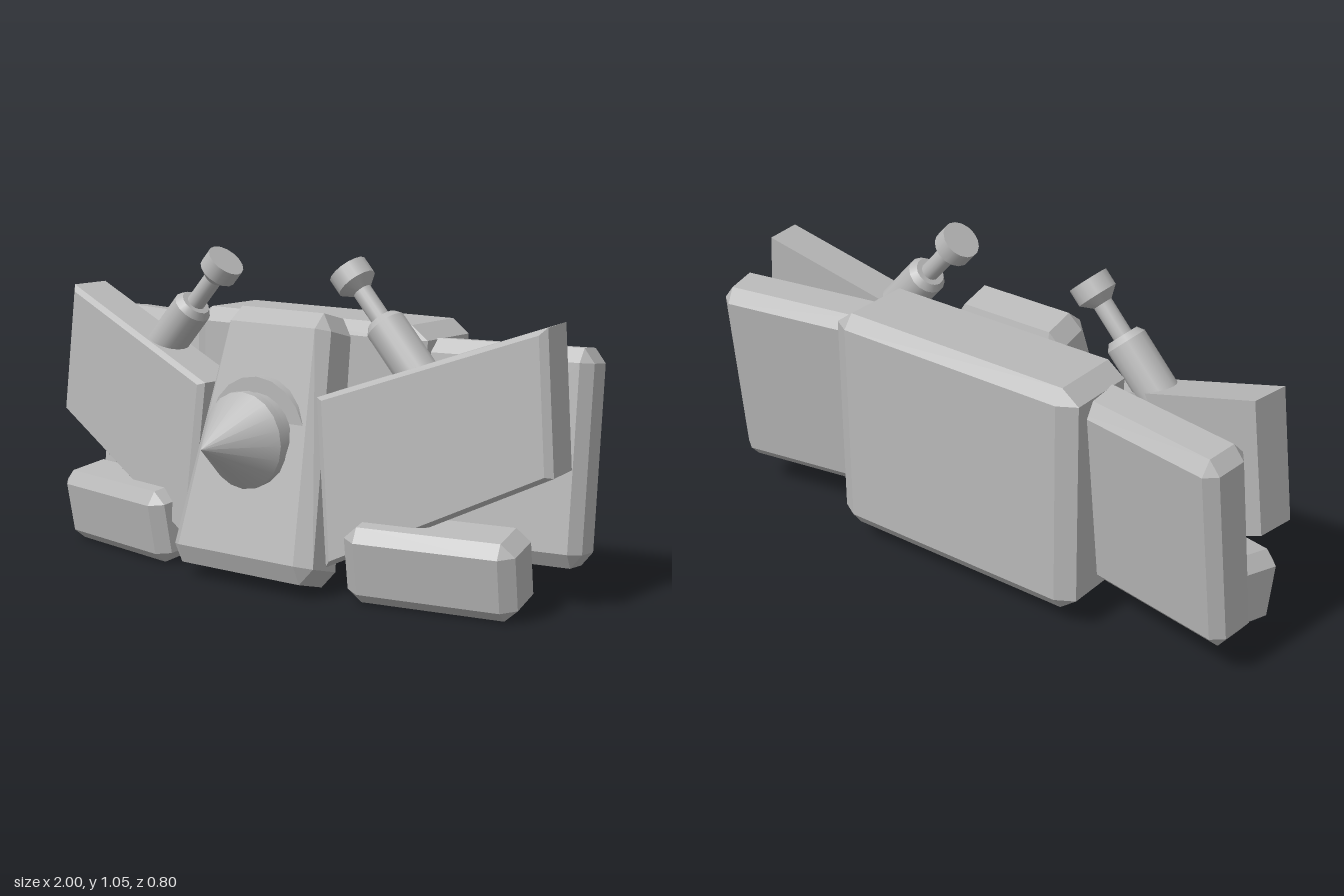
import * as THREE from 'three';
import { ConvexGeometry } from 'three/addons/geometries/ConvexGeometry.js';

const grey = new THREE.MeshStandardMaterial({ color: 0xb8b8b8 });
grey.name = 'plain grey';
const V = (x, y, z) => new THREE.Vector3(x, y, z);

// Box with chamfered edges; shape() may taper each point
function chamferBox(w, h, d, [cx, cy, cz], shape = (p) => p) {
  const points = [];
  for (const sx of [-1, 1]) for (const sy of [-1, 1]) for (const sz of [-1, 1]) {
    const x = w / 2, y = h / 2, z = d / 2;
    points.push(
      V(sx * x, sy * (y - cy), sz * (z - cz)),
      V(sx * (x - cx), sy * y, sz * (z - cz)),
      V(sx * (x - cx), sy * (y - cy), sz * z));
  }
  return new ConvexGeometry(points.map(shape));
}

// Skewed slab with a softly bevelled front face
function slab(corners, back, side) {
  const centre = corners.reduce((a, c) => a.add(c), V(0, 0, 0)).multiplyScalar(1 / corners.length);
  const points = [];
  for (const c of corners) {
    points.push(c.clone().lerp(centre, 0.06).add(V(0, 0, 0.004)));
    points.push(c.clone().addScaledVector(back, 0.08));
    points.push(c.clone().add(back));
  }
  points.forEach((p) => { p.x *= side; });
  return new ConvexGeometry(points);
}

const lathe = (profile, sides) =>
  new THREE.LatheGeometry(profile.map(([r, y]) => new THREE.Vector2(r, y)), sides);

// Turned part with crisp steps: one band for each pair of profile points
function turned(profile, sides) {
  const group = new THREE.Group();
  for (let i = 0; i < profile.length - 1; i++) {
    const band = new THREE.Mesh(lathe([profile[i], profile[i + 1]], sides), grey);
    band.name = 'band' + (i + 1);
    group.add(band);
  }
  return group;
}

export function createModel() {
  const model = new THREE.Group();
  const add = (name, geometry, x, y, z, rx = 0, ry = 0) => {
    const mesh = new THREE.Mesh(geometry, grey);
    mesh.name = name;
    mesh.position.set(x, y, z);
    mesh.rotation.set(rx, ry, 0, 'YXZ');
    model.add(mesh);
  };

  // Central back block
  add('backBlock', chamferBox(0.94, 0.765, 0.3, [0.06, 0.045, 0.035]), 0, 0.4625, -0.25);

  // Leaning, tapered front body
  add('frontBody', chamferBox(2, 0.85, 0.2, [0.17, 0.055, 0.04], (p) => {
    const t = p.y / 0.85 + 0.5;
    p.x *= 0.29 - 0.09 * t;
    if (p.z < 0) p.z *= 1 - 0.25 * t;
    return p;
  }), 0, 0.45, 0.05, -0.262);

  // Nose cone on its collar
  const nose = turned([[0, 0.05], [0.195, 0.05], [0.195, 0.13], [0.145, 0.13],
    [0.145, 0.158], [0.155, 0.17], [0.155, 0.2], [0, 0.4]], 20);
  nose.name = 'noseCone';
  nose.position.y = 0.48;
  nose.rotation.x = Math.PI / 2;
  model.add(nose);

  for (const s of [1, -1]) {
    const label = s > 0 ? 'left' : 'right';

    // Rear side block, swept back
    add(label + 'RearBlock', chamferBox(0.62, 0.67, 0.17, [0.035, 0.045, 0.035]),
      s * 0.67, 0.465, -0.24, -0.115, s * 0.175);

    // Slanted front panel
    add(label + 'FrontPanel', slab([V(0.23, 0.63, 0.125), V(0.96, 0.89, -0.025),
      V(1, 0.45, -0.01), V(0.28, 0.1, 0.145)], V(-0.02, 0.003, -0.145), s), 0, 0, 0);

    // Lower foot
    add(label + 'Foot', chamferBox(0.56, 0.25, 0.2, [0.045, 0.04, 0.035]),
      s * 0.63, 0.142, 0.03, 0.175, s * 0.19);

    // Angled nozzle: wide base, thin neck, flared head
    const nozzle = turned([[0, -0.42], [0.066, -0.42], [0.066, -0.22], [0.05, -0.198],
      [0.031, -0.198], [0.031, -0.085], [0.065, -0.055], [0.065, 0], [0, 0]], 16);
    nozzle.name = label + 'Nozzle';
    nozzle.position.set(s * 0.247, 1.017, -0.017);
    nozzle.rotation.z = s * 0.73;
    model.add(nozzle);
  }
  return model;
}
